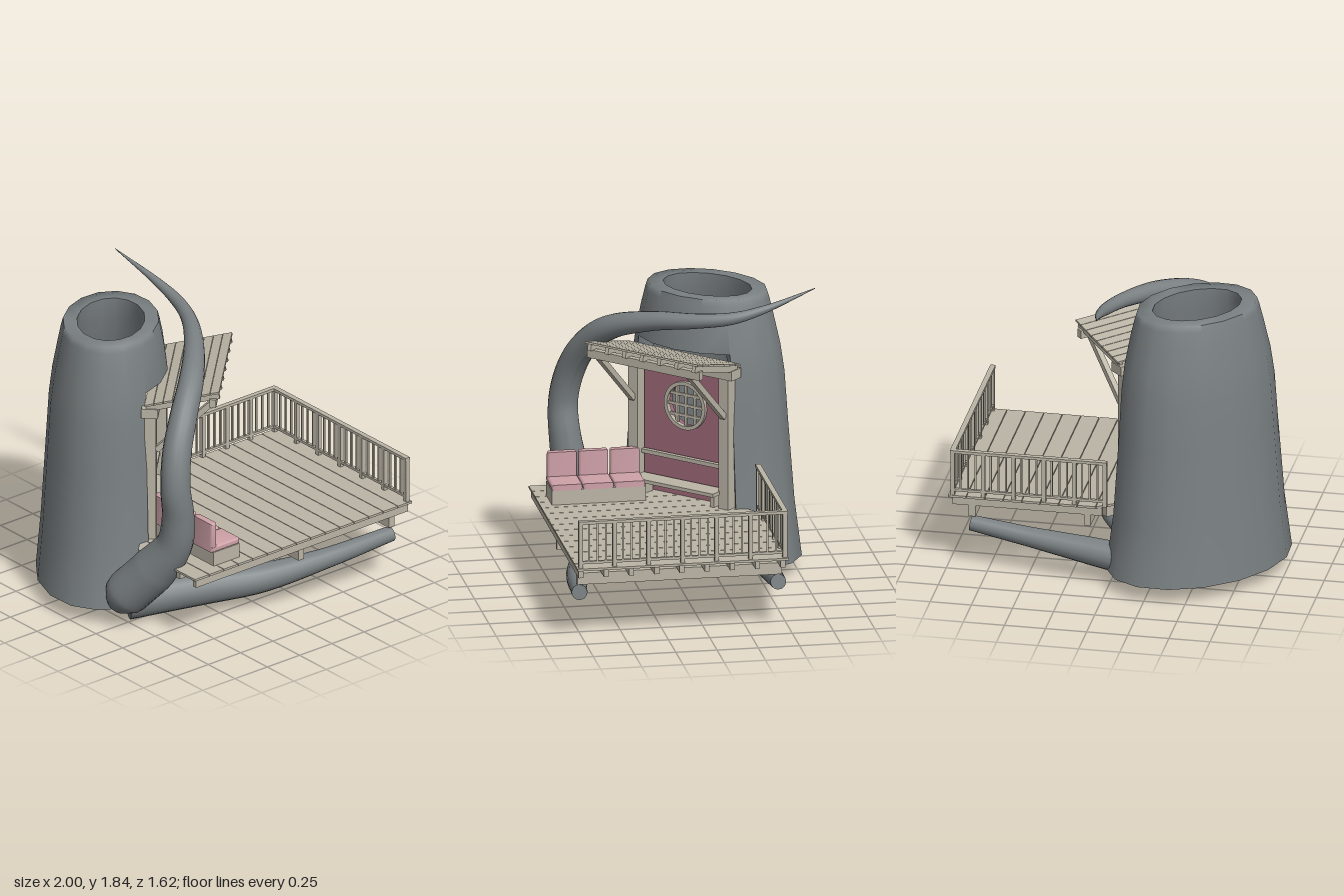
import * as THREE from 'three';
import { toCreasedNormals } from 'three/addons/utils/BufferGeometryUtils.js';

const mat = (name, color, side = THREE.FrontSide) => {
  const m = new THREE.MeshStandardMaterial({ color, side });
  m.name = name;
  return m;
};

export function createModel() {
  const bark = mat('grey bark', 0x7a8082, THREE.DoubleSide);
  const wood = mat('weathered wood', 0xbbb5a6);
  const wallPaint = mat('plum wall', 0x9e6878);
  const fabric = mat('pink fabric', 0xcfa2a9);

  const root = new THREE.Group();
  root.name = 'treeHouse';
  const group = (name, parent = root) => {
    const g = new THREE.Group();
    g.name = name;
    parent.add(g);
    return g;
  };
  const add = (parent, name, geo, material, x = 0, y = 0, z = 0) => {
    const m = new THREE.Mesh(geo, material);
    m.name = name;
    m.position.set(x, y, z);
    parent.add(m);
    return m;
  };
  const box = (parent, name, w, h, d, x, y, z) =>
    add(parent, name, new THREE.BoxGeometry(w, h, d), wood, x, y, z);
  // square bar between two points
  const bar = (parent, name, a, b, s) => {
    const p = new THREE.Vector3(...a), q = new THREE.Vector3(...b);
    const m = box(parent, name, s, s, p.distanceTo(q), 0, 0, 0);
    m.position.copy(p).add(q).multiplyScalar(0.5);
    m.quaternion.setFromUnitVectors(new THREE.Vector3(0, 0, 1), q.sub(p).normalize());
  };

  // Everything around the doorway is turned 45 degrees
  const house = group('house');
  house.position.set(-0.32, 0, -0.09);
  house.rotation.y = Math.PI / 4;

  // Hollow trunk: [y, outer a, outer b, inner a, inner b, centre z]
  const rows = [
    [0.1, 0.605, 0.43, 0.56, 0.385, -0.24], [0.45, 0.555, 0.4, 0.505, 0.345, -0.24],
    [0.95, 0.515, 0.375, 0.45, 0.31, -0.235], [1.25, 0.495, 0.362, 0.41, 0.28, -0.23],
    [1.42, 0.47, 0.346, 0.36, 0.25, -0.225], [1.6, 0.428, 0.318, 0.31, 0.215, -0.22],
    [1.7, 0.402, 0.298, 0.295, 0.205, -0.22], [1.74, 0.388, 0.287, 0.292, 0.203, -0.22]];
  const N = 16, doorTop = 4, verts = [], idx = [];
  for (const [y, a, b, ai, bi, cz] of rows)
    for (const [rx, rz] of [[a, b], [ai, bi]])
      for (let j = 0; j < N; j++) {
        const t = (j / N) * Math.PI * 2;
        verts.push(rx * Math.sin(t), y, cz + rz * Math.cos(t));
      }
  const at = (r, layer, j) => (r * 2 + layer) * N + (j + N) % N;
  const quad = (a, b, c, d) => idx.push(a, b, c, a, c, d);
  const open = (r, j) => r < doorTop && (j < 2 || j >= N - 2);
  const last = rows.length - 1;
  for (let j = 0; j < N; j++) {
    for (let r = 0; r < last; r++) {
      if (open(r, j)) continue;
      quad(at(r, 0, j), at(r, 0, j + 1), at(r + 1, 0, j + 1), at(r + 1, 0, j));
      quad(at(r, 1, j + 1), at(r, 1, j), at(r + 1, 1, j), at(r + 1, 1, j + 1));
    }
    quad(at(last, 0, j), at(last, 0, j + 1), at(last, 1, j + 1), at(last, 1, j));
    const r = open(0, j) ? doorTop : 0;
    quad(at(r, 1, j), at(r, 1, j + 1), at(r, 0, j + 1), at(r, 0, j));
  }
  for (let r = 0; r < doorTop; r++) {
    quad(at(r, 1, 2), at(r, 0, 2), at(r + 1, 0, 2), at(r + 1, 1, 2));
    quad(at(r, 0, -2), at(r, 1, -2), at(r + 1, 1, -2), at(r + 1, 0, -2));
  }
  const trunkGeo = new THREE.BufferGeometry();
  trunkGeo.setAttribute('position', new THREE.Float32BufferAttribute(verts, 3));
  trunkGeo.setIndex(idx);
  add(house, 'trunk', toCreasedNormals(trunkGeo, 1.3), bark);

  // Tapering roots: points are [x, y, z, radius]
  const tendril = (name, pts) => {
    const g = group(name);
    const curve = new THREE.CatmullRomCurve3(pts.map(p => new THREE.Vector3(p[0], p[1], p[2])));
    const n = pts.length * 7, sides = 16;
    const geo = new THREE.TubeGeometry(curve, n, 1, sides);
    const pos = geo.attributes.position, v = new THREE.Vector3();
    for (let i = 0; i <= n; i++) {
      const s = curve.getUtoTmapping(i / n) * (pts.length - 1);
      const k = Math.min(Math.floor(s), pts.length - 2);
      const r = THREE.MathUtils.lerp(pts[k][3], pts[k + 1][3], s - k);
      const c = curve.getPointAt(i / n);
      for (let j = 0; j <= sides; j++) {
        const q = i * (sides + 1) + j;
        v.fromBufferAttribute(pos, q).sub(c).multiplyScalar(r).add(c);
        pos.setXYZ(q, v.x, v.y, v.z);
      }
    }
    geo.computeVertexNormals();
    add(g, 'stem', geo, bark);
    for (const [u, sign] of [[0, -1], [1, 1]]) {
      const c = curve.getPointAt(u);
      const cap = add(g, 'cutEnd', new THREE.CircleGeometry(u ? pts.at(-1)[3] : pts[0][3], sides), bark, c.x, c.y, c.z);
      cap.lookAt(c.clone().addScaledVector(curve.getTangentAt(u), sign));
    }
  };
  tendril('climbingTendril', [
    [-0.79, 0.12, 0.2, 0.075], [-0.775, 0.2, 0.26, 0.14], [-0.69, 0.4, 0.42, 0.14], [-0.64, 0.6, 0.55, 0.11],
    [-0.645, 0.8, 0.59, 0.097], [-0.67, 1.0, 0.595, 0.09], [-0.63, 1.2, 0.56, 0.088],
    [-0.52, 1.39, 0.49, 0.083], [-0.36, 1.54, 0.37, 0.075], [-0.16, 1.63, 0.15, 0.06],
    [0.0, 1.665, -0.1, 0.045], [0.065, 1.69, -0.3, 0.037], [0.07, 1.74, -0.5, 0.024], [0.025, 1.84, -0.81, 0.002]]);
  tendril('frontRoot', [[-0.72, 0.115, 0.2, 0.115], [-0.35, 0.16, 0.4, 0.11], [0, 0.185, 0.58, 0.09],
    [0.4, 0.235, 0.7, 0.063], [0.86, 0.283, 0.765, 0.047]]);
  tendril('middleRoot', [[-0.61, 0.13, -0.11, 0.095], [-0.25, 0.13, -0.15, 0.095], [0, 0.2, -0.09, 0.08],
    [0.16, 0.27, 0.07, 0.06], [0.3, 0.26, 0.23, 0.035], [0.4, 0.225, 0.41, 0.012]]);
  tendril('backRoot', [[-0.25, 0.14, -0.53, 0.1], [0.1, 0.18, -0.49, 0.085], [0.5, 0.23, -0.46, 0.06], [0.86, 0.283, -0.44, 0.047]]);

  // Wall with a round window
  const wallShape = new THREE.Shape([[-0.33, 0.44], [0.33, 0.44], [0.33, 1.3], [-0.33, 1.3]].map(p => new THREE.Vector2(...p)));
  wallShape.holes.push(new THREE.Path().absarc(0, 1.04, 0.135, 0, Math.PI * 2, true));
  add(house, 'wall', new THREE.ExtrudeGeometry(wallShape, { depth: 0.05, bevelEnabled: false, curveSegments: 24 }), wallPaint, 0, 0, -0.05);
  const ring = new THREE.Shape().absarc(0, 0, 0.15, 0, Math.PI * 2);
  ring.holes.push(new THREE.Path().absarc(0, 0, 0.127, 0, Math.PI * 2, true));
  const win = group('window', house);
  win.position.set(0, 1.04, 0);
  add(win, 'windowFrame', new THREE.ExtrudeGeometry(ring, { depth: 0.03, bevelEnabled: false, curveSegments: 24 }), wood, 0, 0, -0.01);
  for (const o of [-0.065, 0, 0.065]) {
    const len = 2 * Math.sqrt(0.133 ** 2 - o * o);
    box(win, 'windowBar', 0.018, len, 0.014, o, 0, 0);
    box(win, 'windowBar', len, 0.018, 0.014, 0, o, 0.002);
  }

  // Door posts, header, braces
  for (const s of [-1, 1]) {
    box(house, 'post', 0.07, 0.85, 0.07, s * 0.33, 0.87, 0.05);
    bar(house, 'brace', [s * 0.33, 1.05, 0.085], [s * 0.33, 1.39, 0.43], 0.035);
  }
  box(house, 'header', 0.8, 0.06, 0.1, 0, 1.317, 0.05);
  box(house, 'awningBeam', 0.82, 0.052, 0.04, 0, 1.408, 0.43);

  // Sloping awning
  const awning = group('awning', house);
  awning.position.set(0, 1.365, 0.02);
  awning.rotation.x = -0.24;
  for (let i = 0; i < 8; i++) box(awning, 'slat', 0.82, 0.012, 0.055, 0, 0.006, 0.03 + i * 0.058);
  for (let i = 0; i < 7; i++) box(awning, 'rafter', 0.025, 0.04, 0.45, -0.38 + i * 0.1267, -0.02, 0.23);

  // Bench against the wall
  box(house, 'benchSeat', 0.6, 0.022, 0.13, 0, 0.565, 0.085);
  box(house, 'benchBackRail', 0.6, 0.025, 0.03, 0, 0.715, 0.03);
  for (const x of [-0.25, 0.25]) box(house, 'benchLeg', 0.03, 0.09, 0.08, x, 0.51, 0.05);

  // Deck boards, trimmed along the house front
  const deck = group('deck');
  const cut = -0.42, count = 15, pitch = 1.685 / count;
  for (let i = 0; i < count; i++) {
    const x0 = -0.69 + i * pitch, geo = new THREE.BoxGeometry(pitch - 0.004, 0.014, 2);
    const p = geo.attributes.position;
    for (let k = 0; k < p.count; k++) {
      const x = p.getX(k) + x0 + pitch / 2;
      p.setX(k, x);
      p.setZ(k, p.getZ(k) > 0 ? 0.8 : Math.max(-0.48, cut - x));
    }
    add(deck, 'board', geo, wood, 0, 0.463, 0);
  }
  // Joists and beams below
  for (let i = 0; i < 9; i++) {
    const z = 0.775 - i * 0.153, x0 = Math.max(-0.67, cut + 0.03 - z);
    box(deck, 'joist', 0.97 - x0, 0.05, 0.03, (0.97 + x0) / 2, 0.431, z);
  }
  for (const x of [0.15, 0.85]) box(deck, 'beam', 0.042, 0.072, 1.24, x, 0.37, 0.16);
  box(house, 'trunkBeam', 0.86, 0.072, 0.045, 0, 0.37, 0.13);

  // Railings along the back and the model's left side
  const railing = (name, length, bays) => {
    const g = group(name);
    box(g, 'topRail', length, 0.018, 0.032, length / 2, 0.752, 0);
    box(g, 'bottomRail', length, 0.016, 0.018, length / 2, 0.502, 0);
    for (let i = 0; i <= bays * 4; i++) {
      const main = i % 4 === 0, x = 0.012 + (i / (bays * 4)) * (length - 0.024);
      if (main) box(g, 'railPost', 0.024, 0.28, 0.024, x, 0.607, 0);
      else box(g, 'baluster', 0.011, 0.245, 0.011, x, 0.625, 0);
    }
    return g;
  };
  railing('backRailing', 0.95, 5).position.set(0.03, 0, -0.462);
  const side = railing('sideRailing', 1.26, 6);
  side.position.set(0.967, 0, 0.79);
  side.rotation.y = Math.PI / 2;

  // Sofa with three cushioned seats
  const sofa = group('sofa');
  box(sofa, 'sofaBase', 0.2, 0.09, 0.57, -0.385, 0.515, 0.445);
  const cushion = (name, w, h, d, x, y, z) => {
    const r = 0.015, a = w / 2 - r, b = h / 2 - r;
    const s = new THREE.Shape().moveTo(-a, -b).lineTo(a, -b).lineTo(a, b).lineTo(-a, b);
    const geo = new THREE.ExtrudeGeometry(s, { depth: d - 2 * r, bevelThickness: r, bevelSize: r, bevelSegments: 4 });
    add(sofa, name, toCreasedNormals(geo.translate(0, 0, r - d / 2), 0.9), fabric, x, y, z);
  };
  for (let i = 0; i < 3; i++) {
    const z = 0.637 - i * 0.19;
    cushion('seatCushion', 0.215, 0.036, 0.187, -0.39, 0.576, z);
    cushion('backCushion', 0.042, 0.17, 0.18, -0.477, 0.66, z);
  }
  return root;
}
